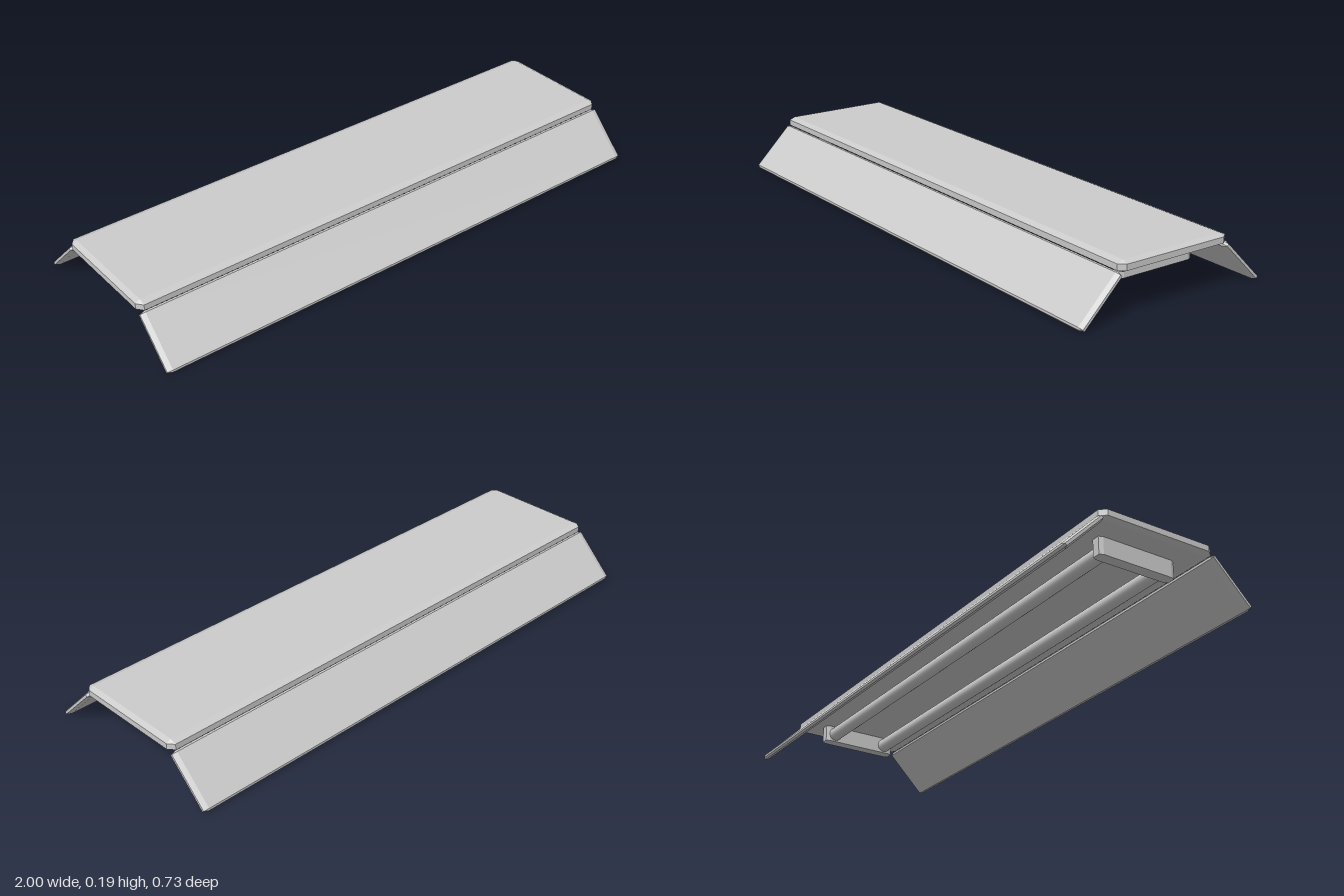
import * as THREE from 'three';
import { ConvexGeometry } from 'three/addons/geometries/ConvexGeometry.js';

const material = new THREE.MeshStandardMaterial({ color: 0xcccccc });

// Box with every edge and corner chamfered: half sizes h, chamfers b per axis
function chamferedBox(h, b) {
  const points = [];
  for (let axis = 0; axis < 3; axis++)
    for (const sx of [-1, 1]) for (const sy of [-1, 1]) for (const sz of [-1, 1]) {
      const c = [sx, sy, sz].map((s, i) => s * (i === axis ? h[i] : h[i] - b[i]));
      points.push(new THREE.Vector3(...c));
    }
  return new ConvexGeometry(points);
}

function add(group, name, geometry, x, y, z) {
  const mesh = new THREE.Mesh(geometry, material);
  mesh.name = name;
  mesh.position.set(x, y, z);
  group.add(mesh);
  return mesh;
}

export function createModel() {
  const group = new THREE.Group();
  group.name = 'tubeLamp';

  // Flat top panel
  add(group, 'topPanel', chamferedBox([1, 0.0195, 0.22], [0.018, 0.009, 0.0225]), 0, 0.1675, 0);

  // Sloping reflector wings along both long sides
  const wing = chamferedBox([1, 0.0105, 0.104], [0.018, 0.006, 0.006]);
  for (const s of [-1, 1]) {
    const mesh = add(group, s > 0 ? 'frontWing' : 'backWing', wing, 0, 0.077, s * 0.287);
    mesh.rotation.x = s * Math.PI / 4;
  }

  // End sockets and the tubes between them sit slightly behind centre
  const zMid = -0.01;
  const socket = chamferedBox([0.02, 0.0375, 0.147], [0.006, 0.002, 0.0145]);
  for (const s of [-1, 1])
    add(group, s > 0 ? 'leftSocket' : 'rightSocket', socket, s * 0.885, 0.1215, zMid);

  const tube = new THREE.CylinderGeometry(0.025, 0.025, 1.76, 24).rotateZ(Math.PI / 2);
  for (const s of [-1, 1])
    add(group, s > 0 ? 'frontTube' : 'backTube', tube, 0, 0.116, zMid + s * 0.11);

  return group;
}
